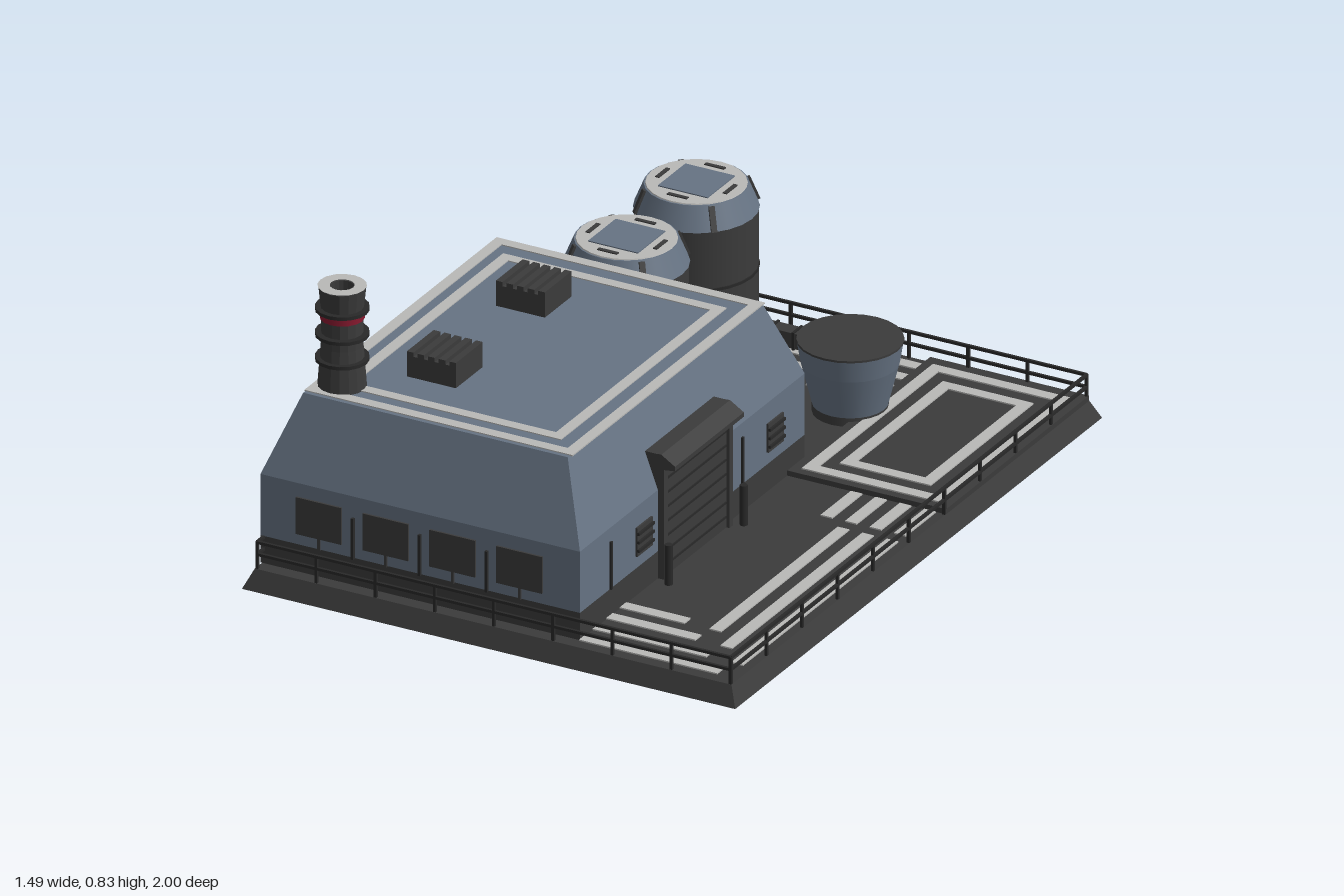
import * as THREE from 'three';

const mat = (name, color, side = THREE.FrontSide) => {
  const m = new THREE.MeshStandardMaterial({ color, side });
  m.name = name;
  return m;
};

export function createModel() {
  const root = new THREE.Group();
  root.name = 'factory';
  const blue = mat('slateBlue', 0x667383);
  const dark = mat('darkGrey', 0x3b3b3b);
  const iron = mat('blackIron', 0x292929);
  const light = mat('paleGrey', 0xb9b9b7);
  const red = mat('warningRed', 0x8a1a30);
  const DECK = 0.055;

  const group = (name) => {
    const g = new THREE.Group();
    g.name = name;
    root.add(g);
    return g;
  };
  const add = (parent, name, geo, material, x = 0, y = 0, z = 0) => {
    const m = new THREE.Mesh(geo, material);
    m.name = name;
    m.position.set(x, y, z);
    parent.add(m);
    return m;
  };
  // Box given by its limits; the top can be drawn in to make a sloped block
  const block = (parent, name, material, x0, x1, y0, y1, z0, z1, inset = 0) => {
    let geo = new THREE.BoxGeometry(x1 - x0, y1 - y0, z1 - z0);
    if (inset) {
      const p = geo.attributes.position;
      for (let i = 0; i < p.count; i++) {
        if (p.getY(i) > 0) {
          p.setX(i, p.getX(i) - Math.sign(p.getX(i)) * inset);
          p.setZ(i, p.getZ(i) - Math.sign(p.getZ(i)) * inset);
        }
      }
      geo.computeVertexNormals();
    }
    return add(parent, name, geo, material, (x0 + x1) / 2, (y0 + y1) / 2, (z0 + z1) / 2);
  };
  const drum = (parent, name, material, x, z, y0, y1, r0, r1, n = 24, open = false) =>
    add(parent, name, new THREE.CylinderGeometry(r1, r0, y1 - y0, n, 1, open), material, x, (y0 + y1) / 2, z);
  // Painted mark and rectangular painted frame
  const mark = (parent, x0, x1, z0, z1, y = DECK) =>
    block(parent, 'paintedStripe', light, x0, x1, y, y + 0.004, z0, z1);
  const frame = (parent, x0, x1, z0, z1, w, y) => {
    mark(parent, x0, x1, z0, z0 + w, y);
    mark(parent, x0, x1, z1 - w, z1, y);
    mark(parent, x0, x0 + w, z0 + w, z1 - w, y);
    mark(parent, x1 - w, x1, z0 + w, z1 - w, y);
  };

  // Base slab
  block(root, 'base', dark, -0.745, 0.745, 0, DECK, -1, 1, 0.025);

  // Yard markings: lanes stepping round the corners
  const marks = group('yardMarkings');
  for (let i = 0; i < 4; i++) {
    const d = i * 0.074;
    mark(marks, 0.02, 0.24, -0.95 + d, -0.915 + d);
    mark(marks, -0.655 + d, -0.02, -0.95 + d, -0.915 + d);
    if (i < 3) mark(marks, -0.692 + d, -0.657 + d, -0.87 + d, -0.29);
    mark(marks, 0.435 + d, 0.47 + d, -0.19, -0.025);
    if (i > 0) mark(marks, 0.435 + d, 0.47 + d, 0.015, 0.641 + d);
    mark(marks, 0.24, 0.435 + d, 0.683 + d, 0.718 + d);
  }
  // Raised loading pad with two painted frames
  const pad = group('loadingPad');
  block(pad, 'padSlab', dark, 0.24, 0.72, DECK, 0.07, -0.975, -0.195);
  frame(pad, 0.27, 0.69, -0.935, -0.22, 0.034, 0.07);
  frame(pad, 0.343, 0.617, -0.858, -0.295, 0.034, 0.07);

  // Main hall
  const hall = group('mainHall');
  block(hall, 'plinth', dark, -0.725, 0.24, DECK, 0.135, -0.29, 0.935);
  block(hall, 'walls', blue, -0.725, 0.24, 0.135, 0.315, -0.29, 0.935);
  block(hall, 'slopedRoof', blue, -0.725, 0.24, 0.315, 0.538, -0.29, 0.935, 0.083);
  frame(hall, -0.645, 0.165, -0.208, 0.84, 0.032, 0.537);
  frame(hall, -0.583, 0.092, -0.132, 0.772, 0.032, 0.537);

  // Large windows on the front and back, with glazing posts between
  for (const [zw, s] of [[0.935, 1], [-0.29, -1]]) {
    for (let i = 0; i < 4; i++) {
      const x = -0.547 + i * 0.202;
      add(hall, 'window', new THREE.BoxGeometry(0.138, 0.108, 0.012), dark, x, 0.221, zw);
      add(hall, 'windowStrut', new THREE.BoxGeometry(0.008, 0.035, 0.01), dark, x, 0.15, zw);
      if (i < 3) add(hall, 'wallPipe', new THREE.BoxGeometry(0.008, 0.12, 0.014), iron, x + 0.103, 0.193, zw + s * 0.002);
    }
  }
  // Small louvred windows and wall pipes on the sides
  const louvre = (x, z, s) => {
    add(hall, 'sideWindow', new THREE.BoxGeometry(0.012, 0.084, 0.084), dark, x, 0.213, z);
    for (let i = 0; i < 3; i++)
      add(hall, 'louvre', new THREE.BoxGeometry(0.008, 0.008, 0.084), iron, x + s * 0.008, 0.188 + i * 0.025, z);
  };
  louvre(0.24, 0.59, 1);
  louvre(0.24, -0.125, 1);
  for (const z of [0.61, 0.28]) louvre(-0.725, z, -1);
  for (const z of [0.77, 0.052])
    for (const x of [0.24, -0.725])
      add(hall, 'wallPipe', new THREE.BoxGeometry(0.012, 0.14, 0.008), iron, x, 0.205, z);

  // Roller door with hood and guard posts
  const door = group('rollerDoor');
  block(door, 'doorPanel', dark, 0.15, 0.25, DECK, 0.42, 0.135, 0.51);
  for (let i = 0; i < 7; i++)
    block(door, 'doorSlat', iron, 0.25, 0.253, 0.085 + i * 0.042, 0.091 + i * 0.042, 0.16, 0.485);
  for (const z of [0.135, 0.49]) block(door, 'doorJamb', dark, 0.24, 0.259, DECK, 0.38, z, z + 0.02);
  const hood = new THREE.Shape();
  [[0.24, 0.375], [0.292, 0.382], [0.292, 0.395], [0.25, 0.421], [0.24, 0.421]].forEach(
    ([x, y], i) => (i ? hood.lineTo(x, y) : hood.moveTo(x, y)));
  add(door, 'hood', new THREE.ExtrudeGeometry(hood, { depth: 0.375, bevelEnabled: false }), dark, 0, 0, 0.135);
  for (const z of [0.118, 0.527]) drum(door, 'guardPost', iron, 0.282, z, DECK, 0.172, 0.011, 0.011, 10);

  // Rooftop vents with ribbed tops
  const vents = group('roofVents');
  for (const z of [0.075, 0.56]) {
    block(vents, 'vent', dark, -0.45, -0.302, 0.535, 0.6, z - 0.073, z + 0.073);
    for (let i = 0; i < 5; i++) {
      const x = -0.45 + i * 0.032;
      block(vents, 'ventRib', dark, x, x + 0.02, 0.6, 0.612, z - 0.073, z + 0.073);
    }
  }

  // Chimney
  const chimney = group('chimney');
  const profile = [[0.068, 0.49], [0.066, 0.54], [0.057, 0.66], [0.056, 0.75], [0.064, 0.829], [0.032, 0.829], [0.032, 0.76], [0, 0.76]]
    .map(([r, y]) => new THREE.Vector2(r, y));
  const stack = new THREE.LatheGeometry(profile, 16).toNonIndexed();
  stack.computeVertexNormals();
  add(chimney, 'stack', stack, dark, -0.575, 0, 0.76);
  for (const y of [0.62, 0.692, 0.766]) drum(chimney, 'collar', iron, -0.575, 0.76, y - 0.005, y + 0.005, 0.073, 0.073, 16);
  drum(chimney, 'redBand', red, -0.575, 0.76, 0.738, 0.761, 0.06, 0.061, 16);
  add(chimney, 'rim', new THREE.RingGeometry(0.033, 0.066, 16), light, -0.575, 0.832, 0.76).rotation.x = -Math.PI / 2;

  // Storage tanks
  for (const z of [-0.81, -0.43]) {
    const tank = group('storageTank');
    const x = -0.375;
    drum(tank, 'body', dark, x, z, DECK, 0.44, 0.165, 0.165);
    drum(tank, 'shoulder', blue, x, z, 0.44, 0.508, 0.168, 0.14);
    drum(tank, 'lid', light, x, z, 0.506, 0.511, 0.137, 0.135);
    add(tank, 'hatch', new THREE.BoxGeometry(0.15, 0.006, 0.15), blue, x, 0.511, z);
    for (const y of [0.1, 0.27]) drum(tank, 'hoop', iron, x, z, y - 0.004, y + 0.004, 0.168, 0.168);
    for (let i = 0; i < 4; i++) {
      const a = (i * Math.PI) / 2;
      const bar = add(tank, 'lidBar', new THREE.BoxGeometry(0.012, 0.006, 0.06), dark, x + Math.cos(a) * 0.102, 0.511, z - Math.sin(a) * 0.102);
      bar.rotation.y = a;
      const b = a + Math.PI / 4;
      const rib = add(tank, 'rib', new THREE.BoxGeometry(0.012, 0.07, 0.016), dark, x + Math.cos(b) * 0.155, 0.472, z - Math.sin(b) * 0.155);
      rib.rotation.set(0, b, 0.39, 'YXZ');
    }
  }
  // Pipes joining the tanks
  for (const y of [0.3, 0.35, 0.4]) block(root, 'tankLink', blue, -0.48, -0.44, y - 0.012, y + 0.012, -0.68, -0.56);

  // Hopper
  const hopper = group('hopper');
  drum(hopper, 'bowl', blue, 0.195, -0.62, 0.08, 0.2, 0.102, 0.132);
  drum(hopper, 'bowlRim', blue, 0.195, -0.62, 0.2, 0.262, 0.132, 0.142);
  drum(hopper, 'cover', dark, 0.195, -0.62, 0.262, 0.268, 0.143, 0.143);
  drum(hopper, 'foot', dark, 0.195, -0.62, DECK, 0.08, 0.102, 0.102);

  // Ducts linking hopper, tanks and hall
  const ducts = group('ducts');
  block(ducts, 'crossDuct', dark, -0.25, 0.1, 0.205, 0.25, -0.645, -0.6);
  for (let i = 0; i < 5; i++) block(ducts, 'ductJoint', iron, -0.25 + i * 0.07, -0.243 + i * 0.07, 0.202, 0.254, -0.648, -0.597);
  block(ducts, 'hallDuct', dark, -0.198, -0.152, 0.245, 0.288, -0.645, -0.28);
  for (const z of [-0.57, -0.35]) block(ducts, 'ductLeg', iron, -0.185, -0.165, DECK, 0.245, z - 0.01, z + 0.01);
  block(ducts, 'ductLeg', iron, -0.06, -0.04, DECK, 0.205, -0.632, -0.612);

  // Perimeter railing
  const railing = group('railing');
  const X = 0.715, Z = 0.97, t = 0.004;
  for (const s of [-1, 1]) {
    for (const y of [0.097, 0.132]) {
      block(railing, 'rail', iron, -X, X, y - t, y + t, s * Z - t, s * Z + t);
      block(railing, 'rail', iron, s * X - t, s * X + t, y - t, y + t, -Z, Z);
    }
    for (let i = 0; i <= 8; i++) {
      const x = -X + (i * X) / 4;
      block(railing, 'post', iron, x - t, x + t, DECK, 0.134, s * Z - t, s * Z + t);
    }
    for (let i = 1; i < 10; i++) {
      const z = -Z + (i * Z) / 5;
      block(railing, 'post', iron, s * X - t, s * X + t, DECK, 0.134, z - t, z + t);
    }
  }
  return root;
}
